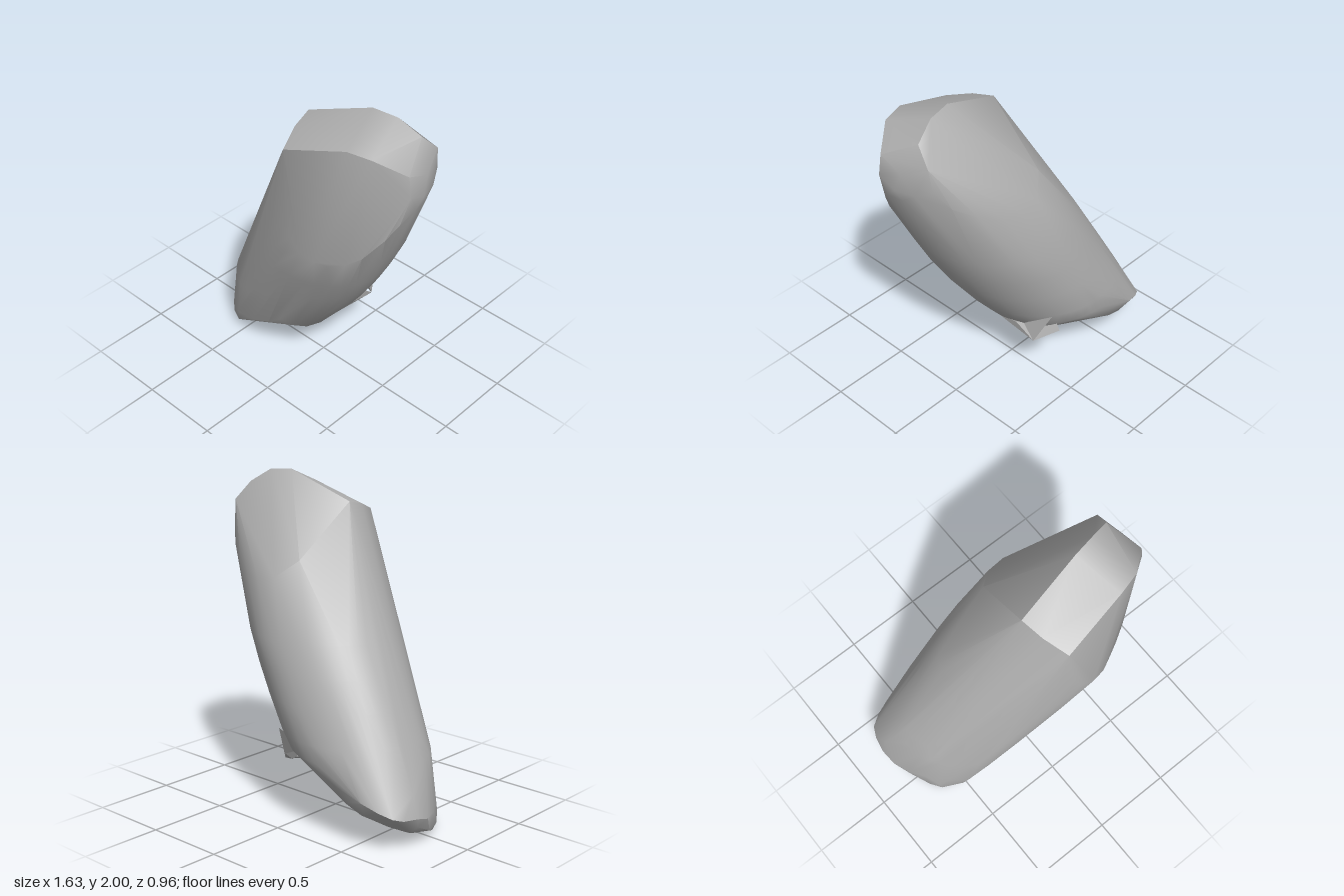
import * as THREE from 'three';
import { ConvexGeometry } from 'three/addons/geometries/ConvexGeometry.js';
import { mergeVertices, toCreasedNormals } from 'three/addons/utils/BufferGeometryUtils.js';

const v = (x, y, z) => new THREE.Vector3(x, y, z);

// Closed cross-section made of four quarter ellipses through its left, front, right and back extremes
function section(y, L, F, R, B, steps = 12) {
  const points = [];
  const quarter = (side, end) => {
    for (let i = 0; i <= steps; i++) {
      const a = (i / steps) * Math.PI / 2;
      points.push(v(
        end[0] + (side[0] - end[0]) * Math.cos(a), y,
        side[1] + (end[1] - side[1]) * Math.sin(a)));
    }
  };
  quarter(L, F); quarter(R, F); quarter(R, B); quarter(L, B);
  return points;
}

function hull(points, crease) {
  let g = new ConvexGeometry(points);
  g.deleteAttribute('normal');
  g = mergeVertices(g, 1e-4);
  return toCreasedNormals(g, crease);
}

export function createModel() {
  const model = new THREE.Group();
  const stone = new THREE.MeshStandardMaterial({ color: 0xb0b0b0 });
  stone.name = 'stone grey';

  // Leaning shaft: y, then left, front, right and back extremes as [x, z]
  const shaft = [
    [0.46, [-0.71, -0.17], [-0.27, 0.33], [0.19, 0.00], [-0.27, -0.47]],
    [0.56, [-0.66, -0.15], [-0.18, 0.355], [0.27, 0.03], [-0.22, -0.48]],
    [0.75, [-0.56, -0.11], [-0.05, 0.395], [0.40, 0.08], [-0.10, -0.465]],
    [0.92, [-0.47, -0.07], [0.08, 0.43], [0.50, 0.11], [0.00, -0.45]],
    [1.10, [-0.375, -0.03], [0.20, 0.46], [0.59, 0.12], [0.10, -0.425]],
  ].flatMap((row) => section(...row));

  // Rounded foot and the sloping cut beneath it
  const foot = [
    v(-0.66, 0, 0.13), v(-0.70, 0.012, 0.06), v(-0.67, 0.02, -0.03), v(-0.76, 0.06, -0.04), v(-0.75, 0.09, -0.2),
    v(-0.68, 0.07, -0.17), v(-0.64, 0.115, -0.26), v(-0.58, 0.035, 0.2), v(-0.53, 0.07, 0.235),
    v(-0.65, 0.03, 0.165), v(-0.70, 0.05, 0.1), v(-0.66, 0.1, 0.155),
    v(-0.82, 0.20, -0.22), v(-0.81, 0.17, -0.12), v(-0.80, 0.14, -0.2), v(-0.80, 0.21, -0.32),
    v(-0.77, 0.23, -0.38), v(-0.72, 0.18, -0.33), v(-0.70, 0.26, -0.42), v(-0.66, 0.18, -0.36),
    v(-0.78, 0.33, -0.22), v(-0.77, 0.17, -0.02), v(-0.71, 0.18, 0.07), v(-0.61, 0.18, 0.19), v(-0.5, 0.18, 0.265),
    v(-0.60, 0.30, -0.45), v(-0.57, 0.20, -0.39), v(-0.52, 0.18, -0.355), v(-0.45, 0.25, -0.41), v(-0.40, 0.36, -0.455),
    v(-0.35, 0.2, 0.275), v(-0.2, 0.28, 0.285), v(-0.1, 0.36, 0.285), v(-0.05, 0.30, 0.22), v(0.0, 0.275, 0.15),
    v(0.03, 0.27, 0.06), v(0.055, 0.30, -0.09), v(0.01, 0.35, -0.26), v(-0.12, 0.40, -0.39), v(-0.25, 0.44, -0.46),
  ];

  // Angled front facet, back facet and the strip crossing the head
  const head = [
    v(0.14, 1.36, 0.455), v(0.19, 1.25, 0.47), v(0.27, 1.19, 0.48), v(0.36, 1.16, 0.46), v(0.43, 1.15, 0.425),
    v(0.52, 1.18, 0.38), v(0.60, 1.24, 0.335), v(0.70, 1.38, 0.265), v(0.76, 1.49, 0.22),
    v(0.10, 1.76, 0.42), v(0.04, 1.81, 0.27), v(0.50, 1.90, 0.36), v(0.64, 1.89, 0.32),
    v(0.79, 1.80, 0.2), v(0.81, 1.68, 0.2), v(0.80, 1.57, 0.15), v(0.805, 1.63, 0.09), v(0.785, 1.57, 0.05),
    v(0.79, 1.74, 0.05), v(0.77, 1.63, -0.03),
    v(0.01, 1.84, 0.13), v(0.42, 2.0, 0.07), v(0.57, 1.99, 0.04), v(0.70, 1.91, 0.0),
    v(0.73, 1.81, -0.1), v(0.72, 1.67, -0.12), v(0.65, 1.56, -0.185), v(0.53, 1.48, -0.26),
    v(0.40, 1.43, -0.325), v(0.28, 1.42, -0.36), v(0.16, 1.44, -0.345), v(0.05, 1.54, -0.25),
  ];

  const body = new THREE.Mesh(hull([...shaft, ...foot, ...head], 0.6), stone);
  body.name = 'leaningStone';
  model.add(body);

  // Small splinters standing out above the sloping cut
  const splinters = [
    [v(0.13, 0.35, -0.3), v(0.04, 0.28, -0.02), v(0.09, 0.36, -0.03), v(-0.05, 0.38, -0.2)],
    [v(0.13, 0.35, -0.3), v(0.16, 0.43, -0.02), v(0.15, 0.44, -0.18), v(-0.05, 0.40, -0.2)],
    [v(0.13, 0.35, -0.3), v(0.08, 0.57, -0.40), v(0.15, 0.47, -0.24), v(-0.05, 0.45, -0.3)],
    [v(0.13, 0.35, -0.3), v(0.02, 0.43, -0.41), v(0.02, 0.38, -0.35), v(-0.05, 0.45, -0.3)],
  ];
  splinters.forEach((points, i) => {
    const mesh = new THREE.Mesh(new ConvexGeometry(points), stone);
    mesh.name = `splinter${i + 1}`;
    model.add(mesh);
  });

  return model;
}
